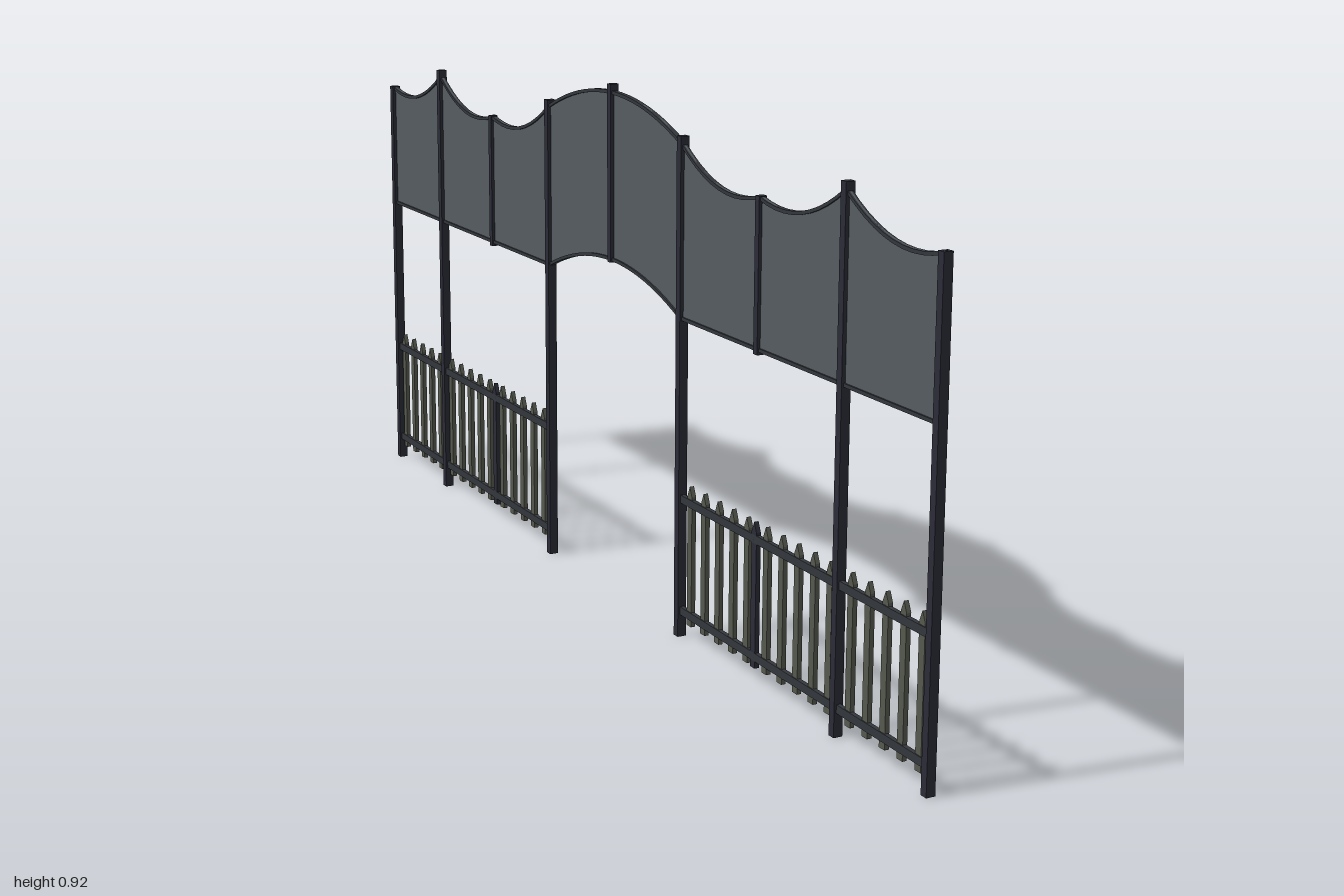
import * as THREE from 'three';

const paint = (color) => new THREE.MeshStandardMaterial({ color });
const postMat = paint(0x2a2c36);
const panelMat = paint(0x555c60);
const trimMat = paint(0x33363c);
const picketMat = paint(0x55584e);

// Height of the panel edges at distance z along the screen
function topEdge(z) {
  const d = Math.abs(z);
  if (d <= 0.25) return 0.853 + 0.055 * (1 - (d / 0.25) ** 2);
  const u = Math.min(Math.abs(d - 0.25), Math.abs(d - 0.745)) / 0.25;
  return 0.793 + 0.06 * ((u - 0.7) / 0.7) ** 2;
}
function bottomEdge(z) {
  const d = Math.abs(z);
  return 0.555 + (d < 0.25 ? 0.055 * (1 - (d / 0.25) ** 2) : 0);
}

// Flat slab in the z-y plane between two height functions, centred on x = 0
function slab(z0, z1, low, high, thickness) {
  const n = 10, pts = [];
  for (let i = 0; i <= n; i++) {
    const z = z0 + (z1 - z0) * i / n;
    pts.push(new THREE.Vector2(z, low(z)));
  }
  for (let i = n; i >= 0; i--) {
    const z = z0 + (z1 - z0) * i / n;
    pts.push(new THREE.Vector2(z, high(z)));
  }
  const g = new THREE.ExtrudeGeometry(new THREE.Shape(pts), { depth: thickness, bevelEnabled: false });
  return g.translate(0, 0, -thickness / 2).rotateY(-Math.PI / 2);
}

export function createModel() {
  const model = new THREE.Group();
  const add = (parent, name, geometry, material) => {
    const mesh = new THREE.Mesh(geometry, material);
    mesh.name = name;
    parent.add(mesh);
    return mesh;
  };
  const bar = (parent, name, z, y0, y1, sx, sz, material) =>
    add(parent, name, new THREE.BoxGeometry(sx, y1 - y0, sz), material)
      .position.set(0, (y0 + y1) / 2, z);

  // Upper screen panels with a trim along both edges
  const screen = new THREE.Group();
  screen.name = 'upperScreen';
  model.add(screen);
  const stops = [-0.993, -0.745, -0.5, -0.25, 0, 0.25, 0.5, 0.745, 0.993];
  for (let i = 0; i < stops.length - 1; i++) {
    const a = stops[i], b = stops[i + 1];
    add(screen, 'panel', slab(a, b, bottomEdge, topEdge, 0.003), panelMat);
    add(screen, 'topTrim', slab(a, b, (z) => topEdge(z) - 0.006, topEdge, 0.009), trimMat);
    add(screen, 'bottomTrim', slab(a, b, bottomEdge, (z) => bottomEdge(z) + 0.006, 0.009), trimMat);
  }
  bar(screen, 'archHanger', 0, 0.608, 0.92, 0.016, 0.012, postMat);

  // Pointed picket outline, extruded across x
  const w = 0.0075;
  const outline = new THREE.Shape([[-w, 0.028], [w, 0.028], [w, 0.258], [0, 0.275], [-w, 0.258]]
    .map(([z, y]) => new THREE.Vector2(z, y)));
  const picket = new THREE.ExtrudeGeometry(outline, { depth: 0.008, bevelEnabled: false })
    .translate(0, 0, -0.004).rotateY(-Math.PI / 2);

  for (const s of [-1, 1]) {
    const side = new THREE.Group();
    side.name = s > 0 ? 'frontSection' : 'backSection';
    model.add(side);

    // Posts
    bar(side, 'gatePost', s * 0.25, 0, 0.863, 0.016, 0.014, postMat);
    bar(side, 'middlePost', s * 0.745, 0, 0.863, 0.016, 0.014, postMat);
    bar(side, 'endPost', s * 0.993, 0, 0.803, 0.016, 0.014, postMat);
    bar(side, 'screenHanger', s * 0.5, 0.55, 0.803, 0.014, 0.012, postMat);

    // Fence rails
    for (const y of [0.047, 0.246])
      bar(side, 'fenceRail', s * 0.6215, y - 0.007, y + 0.007, 0.008, 0.743, trimMat);

    // Five pickets in each bay, plus one under the hanger
    for (const start of [0.285, 0.533, 0.78])
      for (let i = 0; i < 5; i++)
        add(side, 'picket', picket, picketMat).position.set(0.002, 0, s * (start + i * 0.047));
    add(side, 'centrePicket', picket, postMat).position.z = s * 0.5;
  }
  return model;
}
